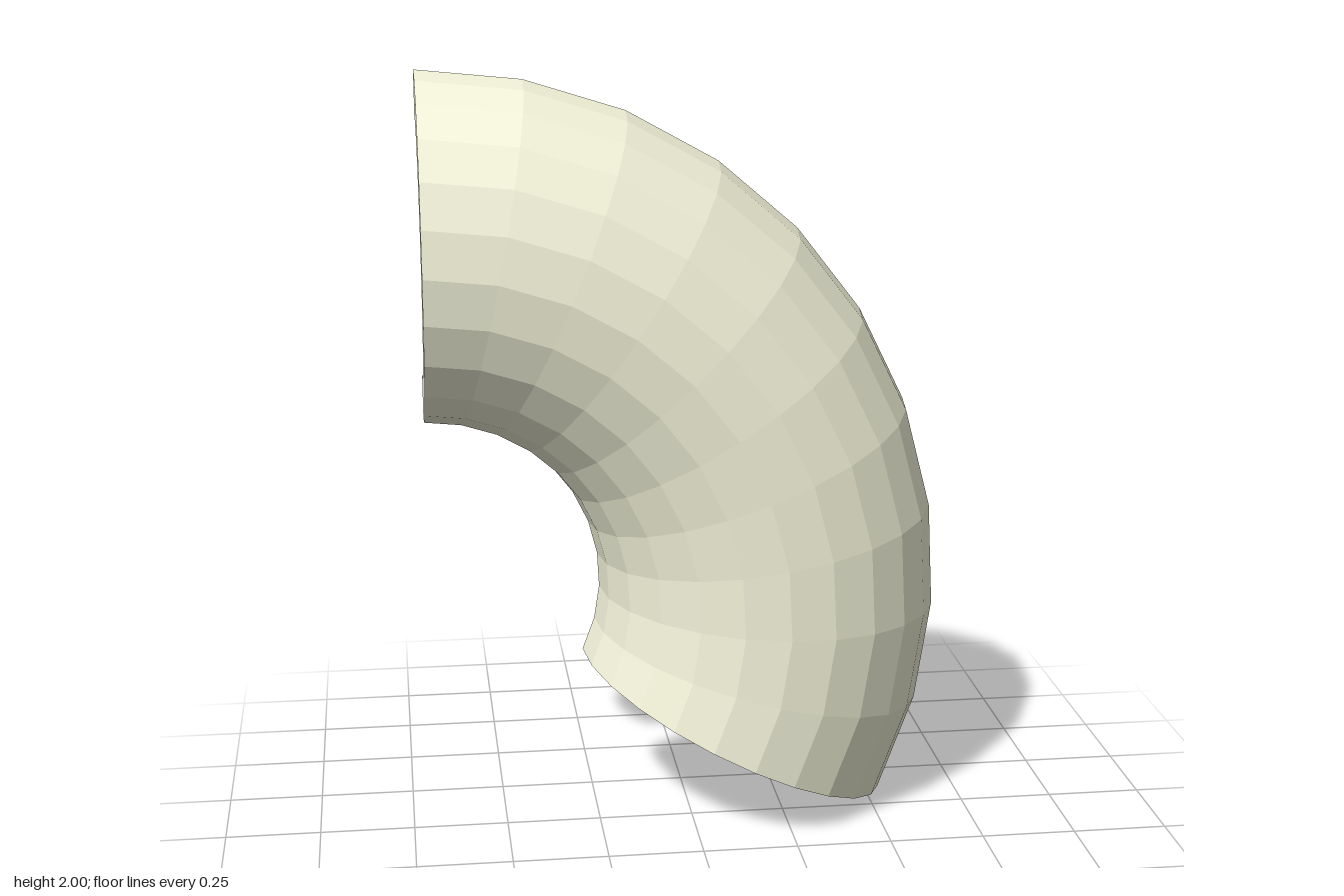
import * as THREE from 'three';

const BEND_RADIUS = 0.925;   // centre line of the elbow
const OUTER = 0.46;          // outside radius of the half pipe
const INNER = 0.345;         // inside radius of the half pipe
const SIDES = 12;            // facets around the half circle
const STEPS = 10;            // facets along the bend
const ARC = THREE.MathUtils.degToRad(116.2);
const CENTRE = new THREE.Vector3(-0.691, 0.613, -0.23);

// Half-ring section: x is distance from the bend axis, y is depth towards the front
function halfRing() {
  const arc = (radius) => Array.from({ length: SIDES + 1 }, (_, i) => {
    const a = (i / SIDES) * Math.PI;
    return new THREE.Vector2(BEND_RADIUS + radius * Math.cos(a), radius * Math.sin(a));
  });
  return new THREE.Shape([...arc(OUTER), ...arc(INNER).reverse()]);
}

// Extrude the section straight, then curl its length around the bend axis
function bentHalfPipe() {
  const geometry = new THREE.ExtrudeGeometry(halfRing(), { depth: 1, steps: STEPS, bevelEnabled: false });
  const p = geometry.attributes.position;
  for (let i = 0; i < p.count; i++) {
    const r = p.getX(i);
    const angle = Math.PI / 2 - ARC * p.getZ(i);
    p.setXYZ(i, r * Math.cos(angle), r * Math.sin(angle), p.getY(i));
  }
  geometry.translate(CENTRE.x, CENTRE.y, CENTRE.z);
  geometry.computeVertexNormals();
  return geometry;
}

export function createModel() {
  const group = new THREE.Group();
  group.name = 'halfPipeElbow';
  const material = new THREE.MeshStandardMaterial({ color: 0xf5f5dc, flatShading: true });
  const shell = new THREE.Mesh(bentHalfPipe(), material);
  shell.name = 'elbowShell';
  group.add(shell);
  return group;
}
